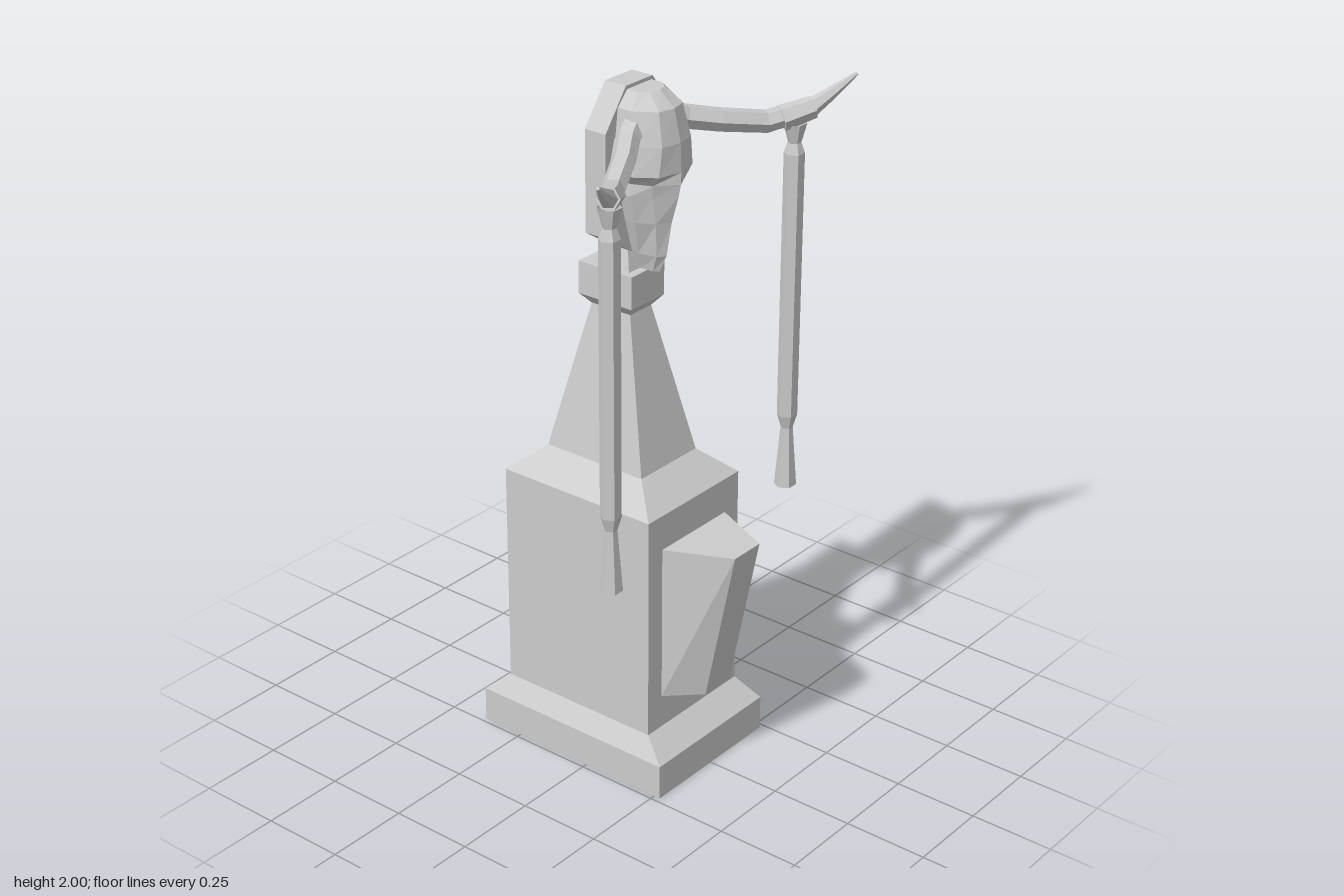
import * as THREE from 'three';

const stone = new THREE.MeshStandardMaterial({ color: 0xcccccc, flatShading: true, side: THREE.DoubleSide });
stone.name = 'pale grey';

const V = (x, y, z) => new THREE.Vector3(x, y, z);

function mesh(name, geometry, parent) {
  const g = geometry.index ? geometry.toNonIndexed() : geometry;
  g.computeVertexNormals();
  const m = new THREE.Mesh(g, stone);
  m.name = name;
  parent.add(m);
  return m;
}

// Skins rings of points; rings turn counter-clockwise about the loft direction
function loft(rings, { closed = true, capStart = false, capEnd = false } = {}) {
  const out = [];
  const tri = (...p) => p.forEach((v) => out.push(v.x, v.y, v.z));
  const n = rings[0].length;
  for (let i = 0; i + 1 < rings.length; i++) {
    for (let j = 0; j < (closed ? n : n - 1); j++) {
      const k = (j + 1) % n;
      const [a, b, c, d] = [rings[i][j], rings[i][k], rings[i + 1][k], rings[i + 1][j]];
      tri(a, b, c);
      tri(a, c, d);
    }
  }
  const last = rings[rings.length - 1];
  for (let j = 1; j + 1 < n; j++) {
    if (capStart) tri(rings[0][0], rings[0][j + 1], rings[0][j]);
    if (capEnd) tri(last[0], last[j], last[j + 1]);
  }
  const g = new THREE.BufferGeometry();
  g.setAttribute('position', new THREE.Float32BufferAttribute(out, 3));
  return g;
}

// Tapered six-sided limb along a list of [x, y, z, radius]
function limb(path, caps) {
  const pts = path.map(([x, y, z]) => V(x, y, z));
  const rings = path.map(([, , , r], i) => {
    const t = pts[Math.min(i + 1, pts.length - 1)].clone().sub(pts[Math.max(i - 1, 0)]).normalize();
    const a = t.clone().cross(V(0, 1, 0)).normalize();
    const b = t.clone().cross(a);
    return Array.from({ length: 6 }, (_, j) => {
      const q = (j / 6) * Math.PI * 2;
      return pts[i].clone().addScaledVector(a, r * Math.cos(q)).addScaledVector(b, r * Math.sin(q));
    });
  });
  return loft(rings, { capStart: caps, capEnd: true });
}

export function createModel() {
  const model = new THREE.Group();
  model.name = 'skullMonument';

  // Open-backed pedestal: three walls through levels of [y, half width, front z, back z]
  const walls = (levels) => loft(levels.map(([y, w, f, b]) =>
    [V(-w, y, b), V(-w, y, f), V(w, y, f), V(w, y, b)]), { closed: false });
  mesh('pedestal', walls([
    [0, 0.235, 0.27, -0.385],
    [0.105, 0.235, 0.27, -0.385],
    [0.165, 0.2, 0.2, -0.315],
    [0.84, 0.2, 0.2, -0.315],
    [0.915, 0.12, 0.11, -0.225],
    [1.35, 0.045, 0.01, -0.125],
    [1.38, 0.07, 0.035, -0.15],
    [1.475, 0.07, 0.035, -0.15],
  ]), model);
  const ledge = mesh('collarTop', new THREE.PlaneGeometry(0.14, 0.185).rotateX(-Math.PI / 2), model);
  ledge.position.set(0, 1.475, -0.0575);
  mesh('neck', walls([[1.475, 0.05, 0.01, -0.125], [1.54, 0.03, -0.01, -0.06]]), model);

  // Tapered box on the pedestal front
  const boxRing = (y, f) => [V(-0.14, y, 0.2), V(-0.055, y, f), V(0.055, y, f), V(0.14, y, 0.2)];
  mesh('frontBox', loft([boxRing(0.265, 0.29), boxRing(0.735, 0.385)],
    { closed: false, capStart: true, capEnd: true }), model);

  // Skull levels: y, side width, side z, cheek x, cheek z, ridge z
  const skull = [
    [1.48, 0.012, 0.02, 0.01, 0.06, 0.075],
    [1.53, 0.03, 0.025, 0.02, 0.08, 0.098],
    [1.63, 0.06, 0.04, 0.035, 0.09, 0.115],
    [1.71, 0.08, 0.04, 0.05, 0.09, 0.138],
    [1.745, 0.078, 0.04, 0.055, 0.095, 0.145],
    [1.78, 0.108, 0.075, 0.07, 0.128, 0.146],
    [1.86, 0.1, 0.07, 0.06, 0.13, 0.143],
    [1.95, 0.088, 0.05, 0.05, 0.11, 0.122],
    [1.99, 0.05, 0.04, 0.03, 0.065, 0.075],
  ];
  mesh('skull', loft(skull.map(([y, w, s, m, c, r]) => [
    V(-w, y, 0), V(-w, y, s), V(-m, y, c), V(0, y, r), V(m, y, c), V(w, y, s), V(w, y, 0),
  ]), { closed: false, capStart: true, capEnd: true }), model);

  // Open-backed hexagonal plaque with an opening behind the skull
  const outline = [[0.03, 1.53], [0.138, 1.6], [0.138, 1.89], [0.055, 2],
    [-0.055, 2], [-0.138, 1.89], [-0.138, 1.6], [-0.03, 1.53]];
  const face = new THREE.Shape(outline.map(([x, y]) => new THREE.Vector2(x, y)));
  const side = [[0.018, 1.56], [0.055, 1.63], [0.073, 1.74], [0.098, 1.79], [0.095, 1.86], [0.08, 1.95]];
  face.holes.push(new THREE.Path([
    ...side.map(([x, y]) => new THREE.Vector2(x, y)),
    ...side.slice().reverse().map(([x, y]) => new THREE.Vector2(-x, y)),
  ]));
  const plaque = new THREE.Group();
  plaque.name = 'plaque';
  model.add(plaque);
  mesh('plaqueFace', new THREE.ShapeGeometry(face), plaque).position.z = 0.005;
  mesh('plaqueRim', loft([-0.065, 0.005].map((z) => outline.map(([x, y]) => V(x, y, z)))), plaque);

  // Horns with wraps and hanging streamers, mirrored left and right
  const streamer = [[0, 0.732], [0.033, 0.732], [0.018, 0.915], [0.03, 0.955],
    [0.03, 1.74], [0.019, 1.77], [0.034, 1.825]].map(([r, y]) => new THREE.Vector2(r, y));
  for (const [sx, label] of [[1, 'left'], [-1, 'right']]) {
    const arm = new THREE.Group();
    arm.name = label + 'Horn';
    arm.scale.x = sx;
    model.add(arm);
    mesh('horn', limb([
      [0.07, 1.9, 0.04, 0.036],
      [0.12, 1.882, 0.062, 0.034],
      [0.2, 1.862, 0.115, 0.033],
      [0.32, 1.838, 0.18, 0.032],
      [0.42, 1.86, 0.25, 0.027],
      [0.48, 1.9, 0.283, 0.017],
      [0.542, 1.943, 0.317, 0.005],
    ], true), arm);
    mesh('hornWrap', limb([[0.355, 1.842, 0.205, 0.036], [0.43, 1.865, 0.256, 0.031]], true), arm);
    const hang = mesh('streamer', new THREE.LatheGeometry(streamer, 6, Math.PI / 2), arm);
    hang.position.set(0.39, 0, 0.226);
    hang.scale.z = 0.95;
  }
  return model;
}
